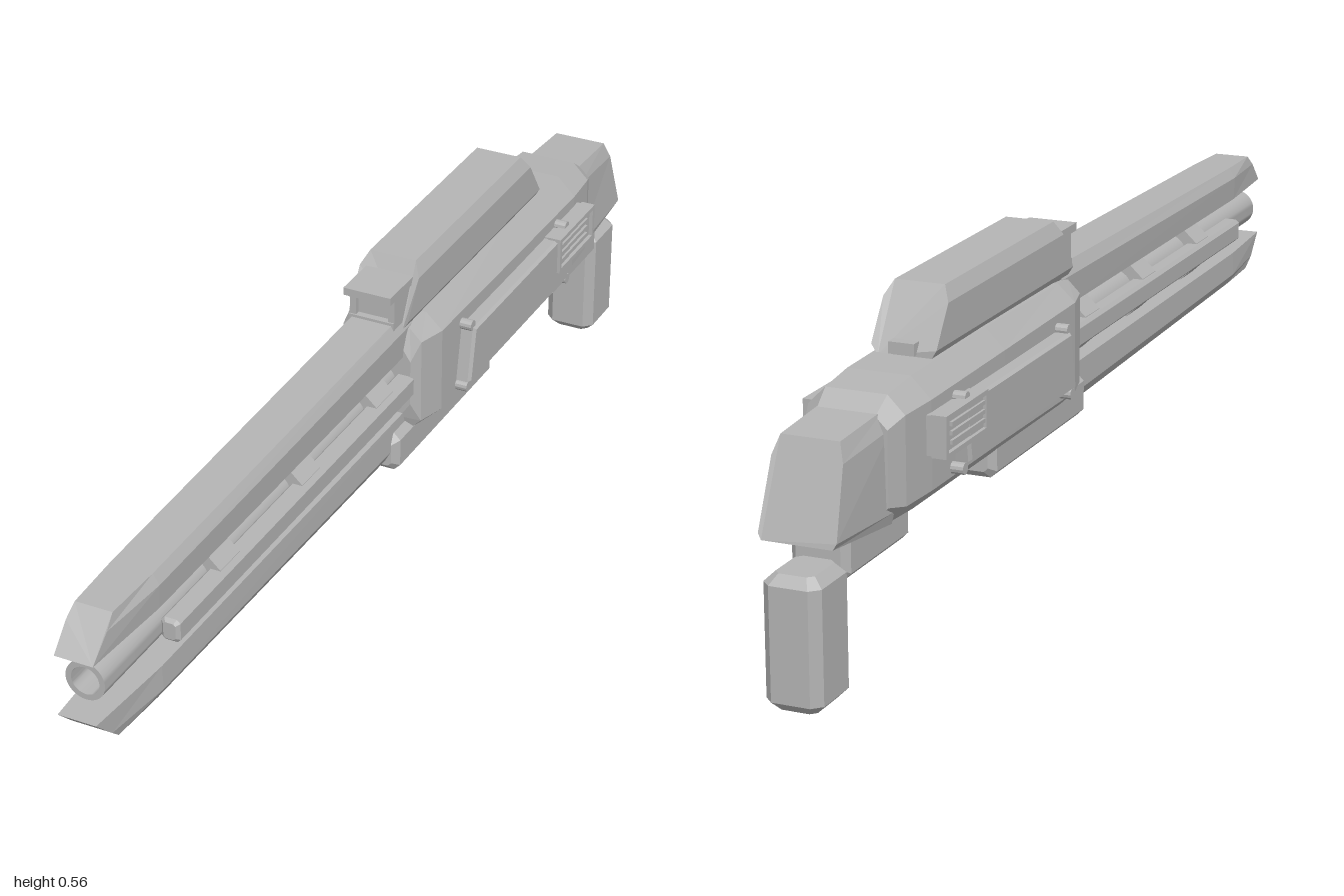
import * as THREE from 'three';
import { toCreasedNormals } from 'three/addons/utils/BufferGeometryUtils.js';

const AXIS = 0.34; // height of the barrel axis

// Skin rings of [x,y,z] points (counter-clockwise from +z, front ring first) and cap both ends.
function loft(rings) {
  const n = rings[0].length, pos = [];
  const tri = (a, b, c) => pos.push(...a, ...b, ...c);
  for (let i = 0; i < rings.length - 1; i++) {
    for (let j = 0; j < n; j++) {
      const k = (j + 1) % n;
      const a = rings[i][j], b = rings[i][k], d = rings[i + 1][j], c = rings[i + 1][k];
      tri(a, d, c);
      tri(a, c, b);
    }
  }
  const first = rings[0], last = rings[rings.length - 1];
  for (let j = 1; j < n - 1; j++) {
    tri(first[0], first[j], first[j + 1]);
    tri(last[0], last[j + 1], last[j]);
  }
  const g = new THREE.BufferGeometry();
  g.setAttribute('position', new THREE.Float32BufferAttribute(pos, 3));
  g.computeVertexNormals();
  return g;
}

// Mirror a right-hand outline (listed bottom to top) into a closed ring.
const mirrorRing = (half) => [...half, ...half.slice().reverse().map(([x, y, z]) => [-x, y, z])];

// Eight-sided ring: half-width w, from y0 to y1, with corners cut by cx and cy.
const octRing = (w, y0, y1, cx, cy, z) =>
  mirrorRing([[w - cx, y0, z], [w, y0 + cy, z], [w, y1 - cy, z], [w - cx, y1, z]]);

// Box with every edge chamfered by c, centred at the origin.
function chamferBox(w, h, d, c) {
  const big = (z) => octRing(w / 2, -h / 2, h / 2, c, c, z);
  const small = (z) => octRing(w / 2 - c, -h / 2 + c, h / 2 - c, c * 0.6, c * 0.6, z);
  return loft([small(d / 2), big(d / 2 - c), big(-d / 2 + c), small(-d / 2)]);
}

export function createModel() {
  const group = new THREE.Group();
  const grey = new THREE.MeshStandardMaterial({ color: 0xb4b4b4 });
  grey.name = 'grey';
  const add = (name, geo, x = 0, y = 0, z = 0) => {
    const m = new THREE.Mesh(geo, grey);
    m.name = name;
    m.position.set(x, y, z);
    group.add(m);
    return m;
  };
  const box = (name, x, y, z, w, h, d) => add(name, new THREE.BoxGeometry(w, h, d), x, y, z);

  // Long rails above and below the barrel, with slanted tips
  const railHalves = [
    [[0.034, 0.395, 1.0], [0.036, 0.435, 0.958], [0.033, 0.455, 0.935]],
    [[0.046, 0.395, 0.82], [0.048, 0.438, 0.82], [0.037, 0.457, 0.82]],
    [[0.048, 0.397, -0.06], [0.05, 0.45, -0.06], [0.038, 0.472, -0.06]],
  ];
  const flip = (half) => half.map(([x, y, z]) => [x, 2 * AXIS - y, z]).reverse();
  add('upperRail', loft(railHalves.map(mirrorRing)));
  add('lowerRail', loft(railHalves.map((h) => mirrorRing(flip(h)))));

  // Hollow barrel
  const tube = new THREE.Shape().absarc(0, 0, 0.035, 0, Math.PI * 2);
  tube.holes.push(new THREE.Path().absarc(0, 0, 0.025, 0, Math.PI * 2, true));
  const barrelGeo = new THREE.ExtrudeGeometry(tube, { depth: 1.02, bevelEnabled: false, curveSegments: 16 });
  add('barrel', toCreasedNormals(barrelGeo, 0.7), 0, AXIS, -0.05);

  // Eight-sided collars around the barrel
  for (const z of [0.615, 0.335, 0.06]) {
    const ring = (dz) => octRing(0.057, -0.052, 0.052, 0.032, 0.03, dz);
    add('barrelCollar', loft([ring(0.032), ring(-0.032)]), 0, AXIS, z);
  }

  // Main receiver
  add('receiver', loft([
    octRing(0.062, 0.275, 0.42, 0.02, 0.03, -0.03),
    octRing(0.076, 0.245, 0.448, 0.022, 0.022, -0.045),
    octRing(0.09, 0.236, 0.455, 0.032, 0.03, -0.1),
    octRing(0.091, 0.235, 0.457, 0.035, 0.035, -0.4),
    octRing(0.09, 0.235, 0.453, 0.035, 0.035, -0.68),
    octRing(0.083, 0.238, 0.445, 0.03, 0.03, -0.76),
    octRing(0.07, 0.255, 0.42, 0.02, 0.02, -0.797),
  ]));

  // Top housing with sloping ends
  const housing = (shift, drop) => mirrorRing([
    [0.046, 0.45, -0.31 + 0.28 * shift],
    [0.057, 0.468, -0.31 + 0.28 * shift],
    [0.057, 0.535, -0.31 + (0.28 - 0.042 * drop) * shift],
    [0.044, 0.56, -0.31 + (0.28 - 0.057 * drop) * shift],
  ]);
  add('topHousing', loft([housing(1, 1), housing(-1, 1.1)]));
  box('housingLatch', 0, 0.468, -0.59, 0.045, 0.02, 0.02);

  // Front sight: cap on a framed post
  box('sightCap', 0, 0.528, -0.035, 0.09, 0.014, 0.1);
  box('sightPost', 0, 0.492, -0.045, 0.066, 0.06, 0.06);
  for (const s of [-1, 1]) box('sightFrame', s * 0.037, 0.492, -0.035, 0.012, 0.06, 0.06);
  box('sightBase', 0, 0.468, -0.035, 0.086, 0.016, 0.066);

  // Parts repeated on both sides
  for (const s of [-1, 1]) {
    add('sideRod', chamferBox(0.034, 0.042, 0.84, 0.006), s * 0.05, AXIS, 0.38);

    // Raised side panel
    const outline = new THREE.Shape([
      [0.165, 0.297], [0.59, 0.297], [0.605, 0.392], [0.183, 0.392],
    ].map(([u, v]) => new THREE.Vector2(u, v)));
    const panelGeo = new THREE.ExtrudeGeometry(outline, {
      depth: 0.022, bevelSize: 0.004, bevelThickness: 0.006, bevelSegments: 1,
    });
    panelGeo.rotateY(Math.PI / 2);
    add('sidePanel', panelGeo, s > 0 ? 0.09 : -0.112);

    // Corner bolts
    for (const [z, y] of [[-0.165, 0.283], [-0.18, 0.4], [-0.595, 0.4], [-0.605, 0.285]]) {
      const bolt = add('panelBolt', toCreasedNormals(new THREE.CylinderGeometry(0.01, 0.01, 0.035, 12), 0.7), s * 0.095, y, z);
      bolt.rotation.z = Math.PI / 2;
    }

    // Framed vent with slats
    box('ventBack', s * 0.1, 0.365, -0.62, 0.034, 0.066, 0.155);
    for (const d of [-1, 1]) {
      box('ventFrameRail', s * 0.111, 0.365 + d * 0.031, -0.62, 0.026, 0.008, 0.16);
      box('ventFrameEnd', s * 0.111, 0.365, -0.62 + d * 0.076, 0.026, 0.07, 0.008);
    }
    for (let i = -1; i <= 1; i++) box('ventSlat', s * 0.117, 0.365 + i * 0.015, -0.608, 0.01, 0.007, 0.13);
  }

  // Under-body blocks
  add('foreGrip', chamferBox(0.124, 0.075, 0.4, 0.012), 0, 0.226, -0.18);
  add('rearBlock', chamferBox(0.1, 0.11, 0.225, 0.012), 0, 0.24, -0.787);

  // Sloping rear cap
  add('rearCap', loft([
    mirrorRing([[0.062, 0.24, -0.77], [0.067, 0.26, -0.77], [0.064, 0.395, -0.77], [0.052, 0.424, -0.77]]),
    mirrorRing([[0.06, 0.262, -0.968], [0.066, 0.272, -0.966], [0.06, 0.385, -0.928], [0.05, 0.416, -0.916]]),
  ]));

  // Pistol grip
  const grip = add('grip', chamferBox(0.098, 0.115, 0.22, 0.016), 0, 0.11, -0.9425);
  grip.rotation.x = -Math.PI / 2;

  return group;
}
